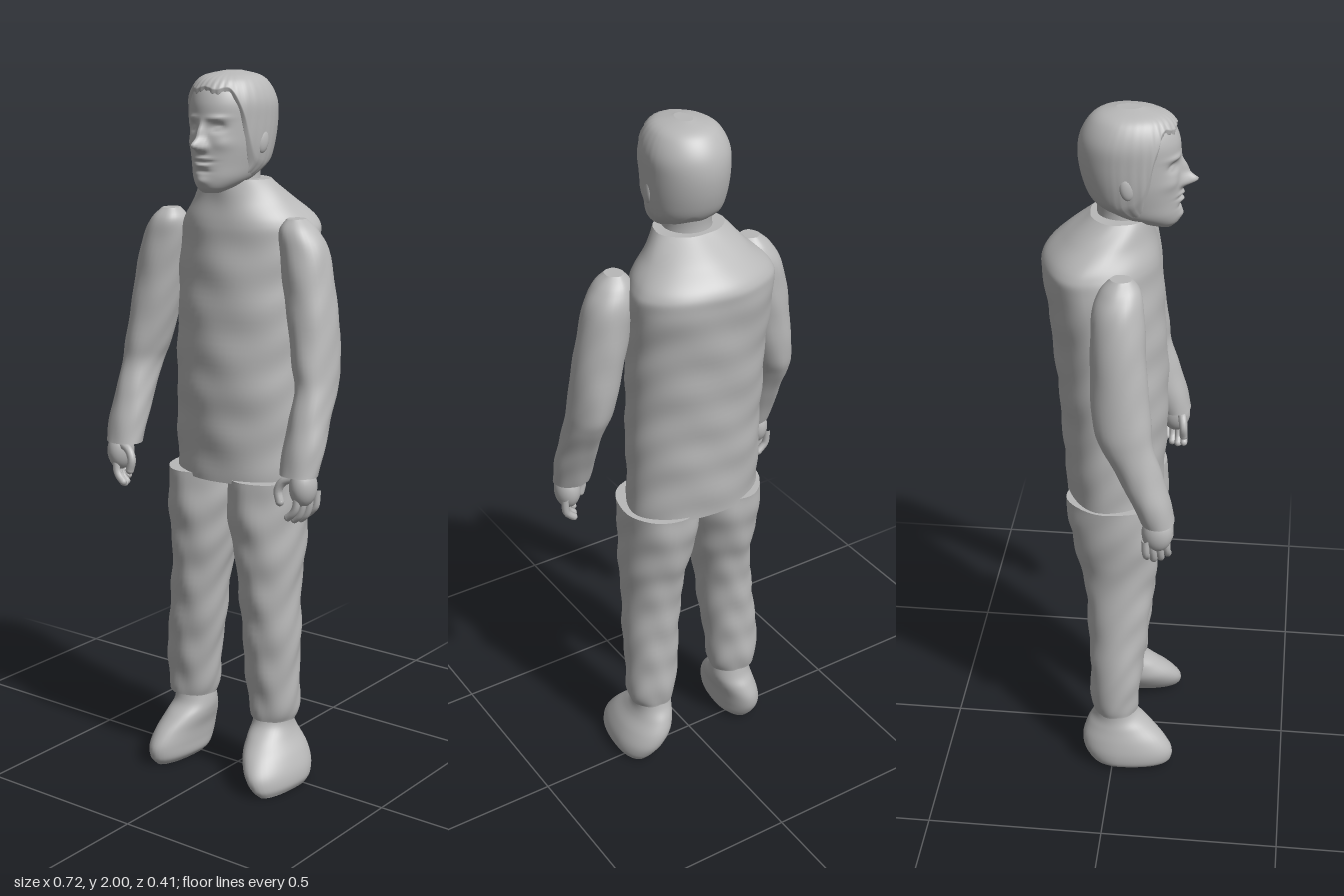
import * as THREE from 'three';

const gray = new THREE.MeshStandardMaterial({ color: 0xb8b8b8 });
gray.name = 'matte gray';

// Smooth interpolation through rows of key numbers, u in 0..1
function sample(keys, u) {
  const n = keys.length - 1;
  const i = Math.min(Math.floor(u * n), n - 1), t = u * n - i;
  const at = (j) => keys[Math.max(0, Math.min(n, j))];
  return keys[0].map((_, k) => {
    const a = at(i - 1)[k], b = at(i)[k], c = at(i + 1)[k], d = at(i + 2)[k];
    const m0 = (c - a) / 2, m1 = (d - b) / 2, t2 = t * t, t3 = t2 * t;
    return (2 * t3 - 3 * t2 + 1) * b + (t3 - 2 * t2 + t) * m0 + (3 * t2 - 2 * t3) * c + (t3 - t2) * m1;
  });
}

// One point on an egg-shaped section [y, cx, halfWidth, zBack, zWidest, zFront]
function ringPoint([y, cx, rx, zb, zc, zf], a, grow = 0) {
  const s = Math.sin(a);
  return new THREE.Vector3(cx + (rx + grow) * Math.cos(a), y, zc + s * ((s > 0 ? zf - zc : zc - zb) + grow));
}

// Closed skin over point(u, angle), rows running upward, with flat ends
function skin(name, rows, cols, point, capped = true) {
  const pos = [], idx = [];
  for (let r = 0; r <= rows; r++) {
    for (let c = 0; c < cols; c++) pos.push(...point(r / rows, (c / cols) * Math.PI * 2).toArray());
  }
  for (let r = 0; r < rows; r++) {
    for (let c = 0; c < cols; c++) {
      const d = (c + 1) % cols, a = r * cols + c, b = r * cols + d;
      idx.push(a, a + cols, b, b, a + cols, b + cols);
    }
  }
  for (const end of capped ? [0, rows] : []) {
    const first = pos.length / 3, mid = new THREE.Vector3();
    for (let c = 0; c < cols; c++) {
      const p = point(end / rows, (c / cols) * Math.PI * 2);
      mid.addScaledVector(p, 1 / cols);
      pos.push(...p.toArray());
    }
    pos.push(...mid.toArray());
    for (let c = 0; c < cols; c++) {
      const d = (c + 1) % cols;
      idx.push(first + cols, first + (end ? d : c), first + (end ? c : d));
    }
  }
  const g = new THREE.BufferGeometry();
  g.setAttribute('position', new THREE.Float32BufferAttribute(pos, 3));
  g.setIndex(idx);
  g.computeVertexNormals();
  const mesh = new THREE.Mesh(g, gray);
  mesh.name = name;
  return mesh;
}

// Cloth or skin part from key sections, with optional soft wrinkles
function loft(name, keys, wrinkle = 0, rows = 40, cols = 40) {
  return skin(name, rows, cols, (u, a) => {
    const k = sample(keys, u);
    const w = Math.sin(k[0] * 41 + 2 * Math.sin(a * 2)) * Math.sin(a * 3 + k[0] * 13);
    return ringPoint(k, a, w * wrinkle);
  });
}

const HEAD = [
  [1.685, 0, 0.025, 0.09, 0.12, 0.14], [1.7, 0, 0.05, 0.05, 0.09, 0.155],
  [1.725, 0, 0.075, -0.02, 0.05, 0.16], [1.76, 0, 0.09, -0.065, 0.02, 0.16],
  [1.81, 0, 0.1, -0.088, 0.015, 0.16], [1.87, 0, 0.104, -0.099, 0.01, 0.158],
  [1.92, 0, 0.103, -0.094, 0.01, 0.155], [1.96, 0, 0.087, -0.073, 0.015, 0.138],
  [1.982, 0, 0.062, -0.045, 0.02, 0.11], [1.993, 0, 0.012, 0, 0.025, 0.05],
];

// Facial relief: [x, y, width, height, depth], mirrored in x
const FACE = [
  [0, 1.812, 0.014, 0.016, 0.04], [0, 1.842, 0.009, 0.024, 0.018], [0.014, 1.805, 0.008, 0.008, 0.008],
  [0.04, 1.858, 0.018, 0.012, -0.014], [0.04, 1.856, 0.01, 0.005, 0.007], [0.04, 1.882, 0.024, 0.007, 0.006],
  [0, 1.777, 0.023, 0.005, 0.009], [0, 1.768, 0.026, 0.0025, -0.007], [0, 1.759, 0.019, 0.005, 0.009],
  [0, 1.743, 0.022, 0.005, -0.005], [0, 1.718, 0.02, 0.012, 0.007], [0.055, 1.815, 0.02, 0.016, 0.005],
];

function makeHead() {
  const head = new THREE.Group();
  head.name = 'head';
  head.add(skin('face', 110, 120, (u, a) => {
    const p = ringPoint(sample(HEAD, u), a);
    if (p.z > 0.04) {
      let dz = 0;
      for (const [x, y, w, h, d] of FACE) {
        dz += d * Math.exp(-(((Math.abs(p.x) - x) / w) ** 2) - ((p.y - y) / h) ** 2);
      }
      p.z += dz * Math.min(1, (p.z - 0.04) / 0.04);
    }
    return p;
  }));
  // Hair follows the skull above a hairline, with combed strands
  head.add(skin('hair', 40, 120, (u, a) => {
    const s = Math.sin(a);
    const side = THREE.MathUtils.smoothstep(s, 0.15, 0.85);
    const start = 0.24 + 0.5 * side + 0.015 * Math.sin(a * 9);
    const lift = 0.008 * Math.min(1, u * 8) + 0.0015 * Math.sin(a * 34 + u * 6) * Math.max(0, s + 0.4) * (1 - u);
    const p = ringPoint(sample(HEAD, start + (1 - start) * u), a, lift);
    p.y += 0.007 * u;
    return p;
  }));
  for (const s of [-1, 1]) {
    const ear = new THREE.Mesh(new THREE.SphereGeometry(1, 20, 14), gray);
    ear.name = 'ear';
    ear.scale.set(0.011, 0.033, 0.02);
    ear.position.set(s * 0.102, 1.82, 0.03);
    ear.rotation.set(-0.15, s * -0.3, 0);
    head.add(ear);
  }
  head.add(loft('neck', [[1.69, 0, 0.07, -0.06, 0.01, 0.085], [1.73, 0, 0.065, -0.058, 0.01, 0.08],
    [1.78, 0, 0.068, -0.065, 0.01, 0.08]], 0, 10));
  return head;
}

// Tapered finger swept along a short bent path
function finger(name, points, r) {
  const curve = new THREE.CatmullRomCurve3(points);
  const g = new THREE.Group();
  g.name = name;
  g.add(new THREE.Mesh(new THREE.TubeGeometry(curve, 12, r, 10), gray));
  const tip = new THREE.Mesh(new THREE.SphereGeometry(r, 10, 8), gray);
  tip.position.copy(points[points.length - 1]);
  g.add(tip);
  return g;
}

function makeArm(s) {
  const arm = new THREE.Group();
  arm.name = s > 0 ? 'leftArm' : 'rightArm';
  // [y, centre x, half width, centre z, half depth]
  const keys = [
    [0.96, 0.303, 0.054, 0.135, 0.046], [1.03, 0.304, 0.058, 0.112, 0.053], [1.1, 0.302, 0.054, 0.086, 0.06],
    [1.18, 0.3, 0.052, 0.052, 0.069], [1.25, 0.288, 0.06, 0.036, 0.077], [1.4, 0.262, 0.068, 0.025, 0.073],
    [1.53, 0.237, 0.066, 0.021, 0.068], [1.59, 0.219, 0.052, 0.024, 0.054], [1.622, 0.212, 0.025, 0.026, 0.028],
  ].map(([y, x, rx, z, rz]) => [y, s * x, rx, z - rz, z, z + rz]);
  arm.add(loft('sleeve', keys, 0.0015, 50, 32));

  const hand = new THREE.Group();
  hand.name = 'hand';
  const v = (x, y, z) => new THREE.Vector3(s * x, y, z);
  const palm = new THREE.Mesh(new THREE.SphereGeometry(1, 24, 16), gray);
  palm.name = 'palm';
  palm.scale.set(0.036, 0.055, 0.042);
  palm.position.copy(v(0.318, 0.93, 0.135));
  hand.add(palm);
  for (let i = 0; i < 4; i++) {
    const x = 0.343 - i * 0.009, z = 0.105 + i * 0.018, drop = [0.012, 0, 0, 0.008][i];
    hand.add(finger('finger', [v(x, 0.92, z), v(x - 0.004, 0.875, z + 0.002),
      v(x - 0.014, 0.85 + drop, z + 0.003), v(x - 0.028, 0.838 + drop, z + 0.003)], 0.0105));
  }
  hand.add(finger('thumb', [v(0.305, 0.955, 0.15), v(0.268, 0.94, 0.158), v(0.255, 0.915, 0.162),
    v(0.262, 0.885, 0.163)], 0.012));
  arm.add(hand);
  return arm;
}

// Trouser leg and shoe; edges list [y, inner, outer, zBack, zFront]
function makeLeg(s, trouser, shoe) {
  const leg = new THREE.Group();
  leg.name = s > 0 ? 'leftLeg' : 'rightLeg';
  const toKeys = (rows) => rows.map(([y, a, b, zb, zf]) =>
    [y, (s * (a + b)) / 2, (b - a) / 2, zb, Math.min((zb + zf) / 2, 0.02), zf]);
  leg.add(loft('trouserLeg', toKeys(trouser), 0.0035, 60, 40));
  leg.add(loft('shoe', toKeys(shoe), 0, 36, 40));
  return leg;
}

export function createModel() {
  const figure = new THREE.Group();
  figure.name = 'standingFigure';

  figure.add(loft('tunic', [
    [0.89, 0, 0.2, -0.145, -0.02, 0.125], [1.05, 0, 0.2, -0.155, -0.025, 0.132], [1.2, 0, 0.2, -0.165, -0.03, 0.135],
    [1.4, 0, 0.202, -0.184, -0.045, 0.125], [1.55, 0, 0.207, -0.2, -0.07, 0.112], [1.605, 0, 0.195, -0.2, -0.07, 0.105],
    [1.66, 0, 0.145, -0.145, -0.04, 0.095], [1.716, 0, 0.098, -0.078, 0, 0.085],
  ], 0.003, 70, 64));
  figure.add(makeHead());
  figure.add(makeArm(1), makeArm(-1));

  figure.add(makeLeg(1, [
    [0.19, 0.067, 0.195, -0.058, 0.07], [0.24, 0.056, 0.207, -0.066, 0.076], [0.4, 0.046, 0.21, -0.07, 0.09],
    [0.6, 0.035, 0.21, -0.085, 0.11], [0.72, 0.015, 0.214, -0.112, 0.124], [0.82, 0, 0.216, -0.132, 0.132],
    [0.9, 0, 0.218, -0.138, 0.125],
  ], [
    [0.003, 0.16, 0.235, -0.05, 0.155], [0.025, 0.13, 0.246, -0.068, 0.173], [0.06, 0.102, 0.243, -0.086, 0.175],
    [0.1, 0.08, 0.226, -0.09, 0.15], [0.14, 0.075, 0.2, -0.078, 0.108], [0.175, 0.075, 0.188, -0.06, 0.07],
    [0.22, 0.076, 0.188, -0.05, 0.055],
  ]));
  figure.add(makeLeg(-1, [
    [0.2, 0.09, 0.232, -0.058, 0.07], [0.25, 0.078, 0.238, -0.066, 0.076], [0.4, 0.06, 0.228, -0.07, 0.09],
    [0.6, 0.035, 0.2, -0.085, 0.11], [0.72, 0.015, 0.202, -0.112, 0.124], [0.82, 0, 0.208, -0.132, 0.132],
    [0.9, 0, 0.21, -0.138, 0.125],
  ], [
    [0.003, 0.135, 0.215, -0.05, 0.155], [0.025, 0.117, 0.237, -0.068, 0.173], [0.06, 0.112, 0.241, -0.086, 0.175],
    [0.1, 0.106, 0.234, -0.09, 0.15], [0.14, 0.094, 0.222, -0.078, 0.108], [0.175, 0.09, 0.213, -0.06, 0.07],
    [0.23, 0.098, 0.213, -0.05, 0.055],
  ]));
  return figure;
}
